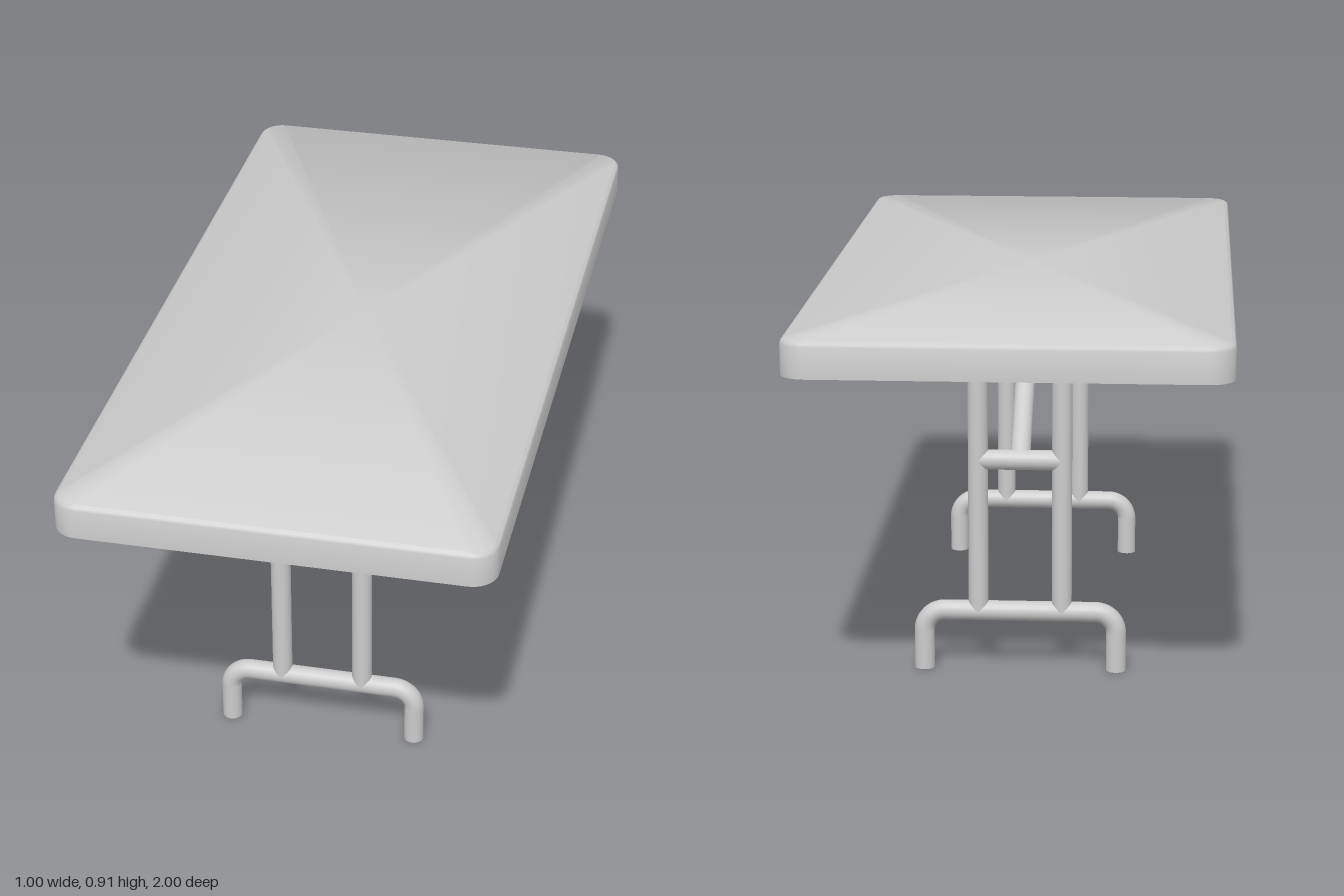
import * as THREE from 'three';
import { toCreasedNormals } from 'three/addons/utils/BufferGeometryUtils.js';

const R = 0.024; // tube radius
const material = new THREE.MeshStandardMaterial({ color: 0xcccccc });

function add(parent, name, geometry) {
  const mesh = new THREE.Mesh(geometry, material);
  mesh.name = name;
  parent.add(mesh);
  return mesh;
}

// Straight tube between two points
function rod(parent, name, from, to) {
  const a = new THREE.Vector3(...from), b = new THREE.Vector3(...to);
  const dir = b.clone().sub(a);
  const mesh = add(parent, name, new THREE.CylinderGeometry(R, R, dir.length(), 24));
  mesh.position.copy(a).add(b).multiplyScalar(0.5);
  mesh.quaternion.setFromUnitVectors(new THREE.Vector3(0, 1, 0), dir.normalize());
}

// Rounded rectangle loop, inset from the table edge, at height y
function outline(inset, y, steps = 10) {
  const r = 0.06 - inset, points = [];
  for (let corner = 0; corner < 4; corner++) {
    const sx = corner === 0 || corner === 3 ? 1 : -1, sz = corner < 2 ? 1 : -1;
    for (let i = 0; i <= steps; i++) {
      const t = (corner + i / steps) * Math.PI / 2;
      points.push([sx * 0.44 + r * Math.cos(t), y, sz * 0.94 + r * Math.sin(t)]);
    }
  }
  return points;
}

// Hollow top: ceiling, inner wall, bottom rim, outer wall, bevel and upper face
function tableTopGeometry() {
  const profile = [[0.03, 0.885], [0.03, 0.825], [0, 0.825], [0, 0.896], [0.003, 0.903], [0.01, 0.908]];
  const rings = profile.map(([inset, y]) => outline(inset, y));
  const n = rings[0].length, positions = [];
  const tri = (a, b, c) => positions.push(...a, ...b, ...c);
  for (let k = 0; k < rings.length - 1; k++) {
    for (let i = 0; i < n; i++) {
      const j = (i + 1) % n, p = rings[k], q = rings[k + 1];
      tri(p[i], q[i], q[j]);
      tri(p[i], q[j], p[j]);
    }
  }
  const top = rings[rings.length - 1], under = rings[0];
  for (let i = 0; i < n; i++) {
    const j = (i + 1) % n;
    tri([0, 0.908, 0], top[j], top[i]);
    tri([0, 0.885, 0], under[i], under[j]);
  }
  const geometry = new THREE.BufferGeometry();
  geometry.setAttribute('position', new THREE.Float32BufferAttribute(positions, 3));
  return toCreasedNormals(geometry, Math.PI / 5);
}

export function createModel() {
  const model = new THREE.Group();
  model.name = 'foldingTable';
  add(model, 'tableTop', tableTopGeometry());

  const footX = 0.231, barY = 0.145, bend = 0.05;
  for (const end of [1, -1]) {
    const z = 0.5 * end;
    const frame = new THREE.Group();
    frame.name = end > 0 ? 'frontLegFrame' : 'backLegFrame';
    model.add(frame);

    // Bent foot tube
    rod(frame, 'footBar', [bend - footX, barY, z], [footX - bend, barY, z]);
    for (const side of [1, -1]) {
      const elbow = add(frame, 'footElbow', new THREE.TorusGeometry(bend, R, 24, 14, Math.PI / 2));
      elbow.position.set(side * (footX - bend), barY - bend, z);
      if (side < 0) elbow.rotation.y = Math.PI;
      rod(frame, 'foot', [side * footX, 0, z], [side * footX, barY - bend, z]);
      rod(frame, 'leg', [side * 0.1, barY, z], [side * 0.1, 0.886, z]);
    }

    // Crossbar and diagonal brace up to the middle of the top
    rod(frame, 'crossbar', [-0.1, 0.52, z], [0.1, 0.52, z]);
    rod(frame, 'brace', [0, 0.52, z], [0, 0.882, 0.008 * end]);
  }
  return model;
}
